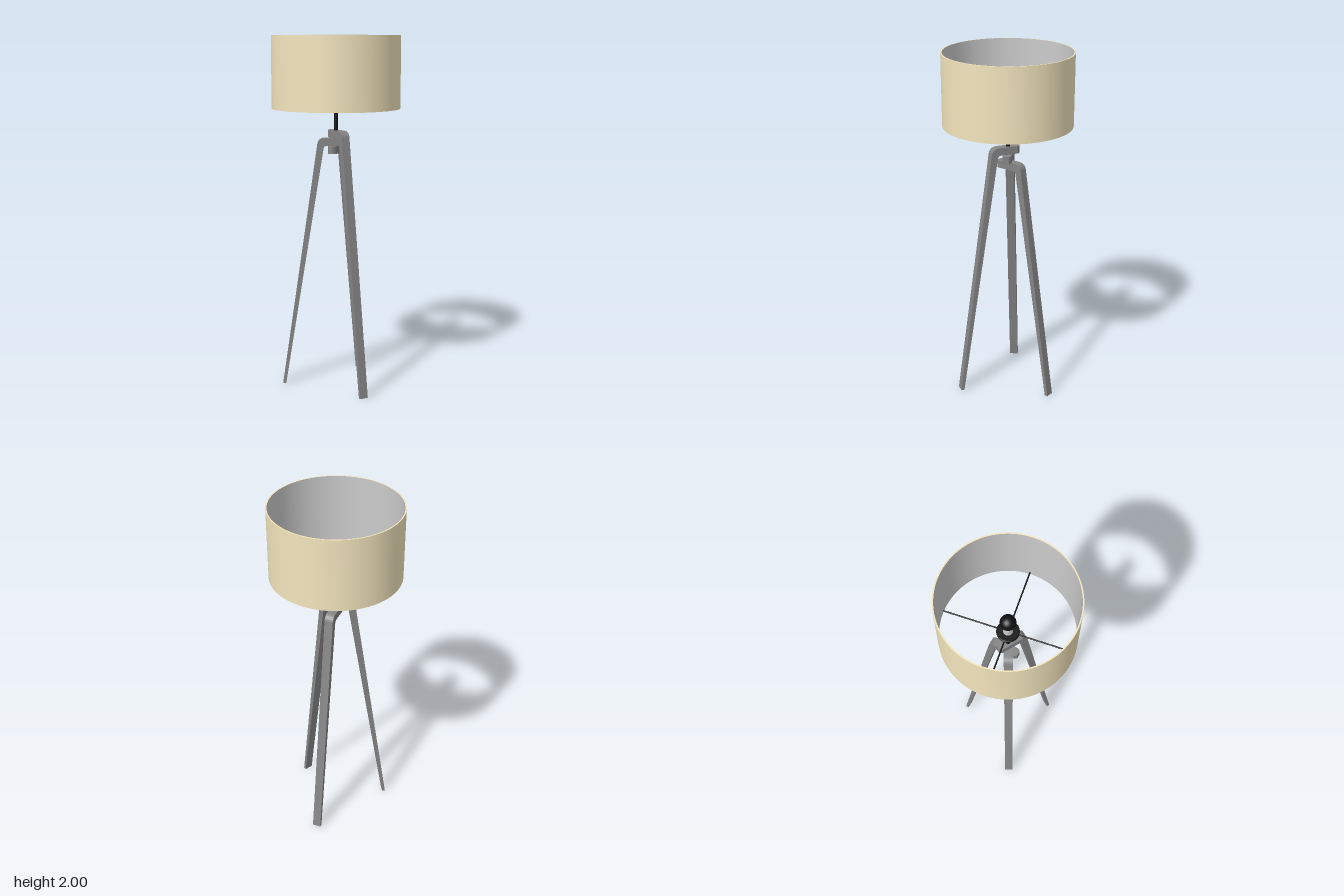
import * as THREE from 'three';
import { toCreasedNormals } from 'three/addons/utils/BufferGeometryUtils.js';

const wood = new THREE.MeshStandardMaterial({ color: 0x858585 });
const black = new THREE.MeshStandardMaterial({ color: 0x111111 });
const grey = new THREE.MeshStandardMaterial({ color: 0xcccccc });
const cream = new THREE.MeshStandardMaterial({ color: 0xf3e5bd });

function add(parent, name, geometry, material, y = 0) {
  const mesh = new THREE.Mesh(geometry, material);
  mesh.name = name;
  mesh.position.y = y;
  parent.add(mesh);
  return mesh;
}

// Bent leg running out along +z: a rectangular section swept through stations
function legGeometry(top) {
  // outer z, outer y, inner z, inner y, half width
  const stations = [
    [-0.063, top, -0.063, top - 0.042, 0.014],
    [-0.05, top, -0.05, top - 0.042, 0.024],
    [0.065, top, 0.05, top - 0.042, 0.024],
  ];
  // rounded elbow
  for (let i = 1; i <= 6; i++) {
    const a = (i / 6) * THREE.MathUtils.degToRad(82);
    stations.push([
      0.065 + 0.04 * Math.sin(a), top - 0.04 * (1 - Math.cos(a)),
      0.05 + 0.02 * Math.sin(a), top - 0.042 - 0.02 * (1 - Math.cos(a)), 0.024,
    ]);
  }
  // tapered foot
  stations.push([0.309, 0, 0.291, 0, 0.024]);

  const rings = stations.map(([zo, yo, zi, yi, w]) => [
    [-w, yo, zo], [w, yo, zo], [w, yi, zi], [-w, yi, zi],
  ]);
  const pos = [];
  const quad = (a, b, c, d) => pos.push(...a, ...b, ...c, ...a, ...c, ...d);
  for (let i = 0; i < rings.length - 1; i++) {
    for (let k = 0; k < 4; k++) {
      const n = (k + 1) % 4;
      quad(rings[i][k], rings[i + 1][k], rings[i + 1][n], rings[i][n]);
    }
  }
  quad(...rings[0]);
  quad(...rings[rings.length - 1].slice().reverse());
  const g = new THREE.BufferGeometry();
  g.setAttribute('position', new THREE.Float32BufferAttribute(pos, 3));
  return toCreasedNormals(g, 0.5);
}

const lathe = (points, segments) => toCreasedNormals(
  new THREE.LatheGeometry(points.map(([x, y]) => new THREE.Vector2(x, y)), segments), 0.6);

export function createModel() {
  const model = new THREE.Group();
  model.name = 'tripodLamp';

  // Three legs whose arms stack on each other at the centre
  [['frontLeg', 1.478, 0], ['leftLeg', 1.392, 1], ['rightLeg', 1.435, -1]].forEach(([name, top, turn]) => {
    add(model, name, legGeometry(top), wood).rotation.y = turn * Math.PI * 2 / 3;
  });

  // Pole, hub and bulb
  add(model, 'pole', new THREE.CylinderGeometry(0.012, 0.012, 0.28, 24), black, 1.49);
  add(model, 'hubDisc', lathe([[0, -0.008], [0.055, -0.008], [0.06, -0.003], [0.06, 0.003], [0.055, 0.008], [0, 0.008]], 40), black, 1.62);
  add(model, 'socket', lathe([[0, 0], [0.026, 0], [0.026, 0.055], [0.02, 0.06], [0.02, 0.09], [0, 0.09]], 32), grey, 1.628);
  add(model, 'bulb', new THREE.SphereGeometry(0.042, 32, 20), black, 1.735);

  // Thin spokes carrying the shade
  const spokes = new THREE.Group();
  spokes.name = 'shadeSpokes';
  spokes.position.y = 1.62;
  for (let i = 0; i < 4; i++) {
    const g = new THREE.CylinderGeometry(0.004, 0.004, 0.31, 10).rotateZ(Math.PI / 2).translate(0.195, 0, 0);
    add(spokes, 'spoke', g, black).rotation.y = THREE.MathUtils.degToRad(40 + 90 * i);
  }
  model.add(spokes);

  // Drum shade with its liner
  add(model, 'shade', lathe([[0.35, 1.6], [0.357, 1.6], [0.357, 2], [0.35, 2]], 96), cream);
  const liner = grey.clone();
  liner.side = THREE.BackSide;
  add(model, 'shadeLiner', new THREE.CylinderGeometry(0.35, 0.35, 0.4, 96, 1, true), liner, 1.8);

  return model;
}
